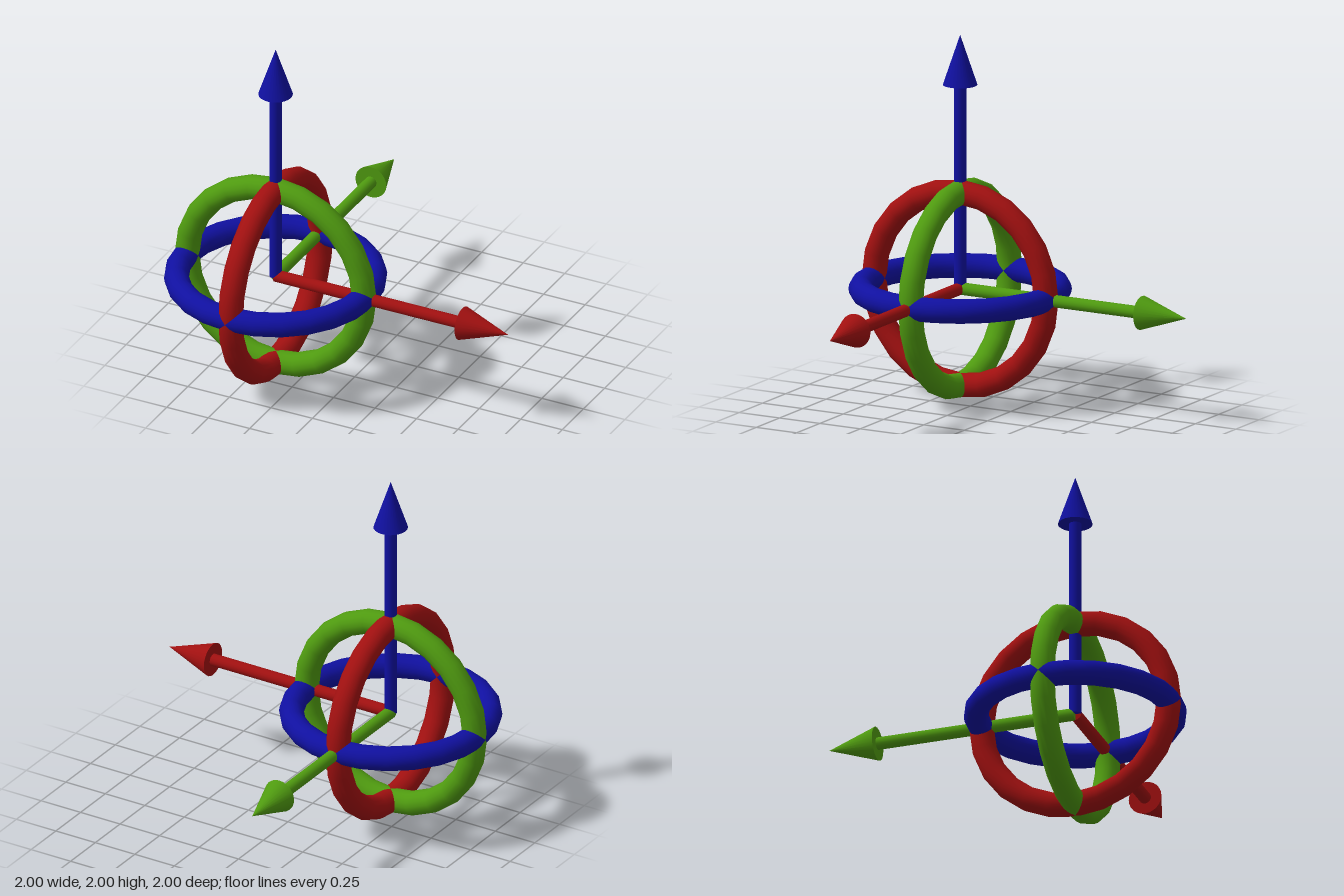
import * as THREE from 'three';

const OUTER = 0.6;              // outer radius of the rings
const TUBE = 0.067;             // ring thickness radius
const LENGTH = 1.4;             // arrow length from the hub
const HEAD = 0.275;             // arrowhead length

function part(name, geometry, material) {
  const mesh = new THREE.Mesh(geometry, material);
  mesh.name = name;
  return mesh;
}

// One axis: an arrow along +y and a ring lying around it
function createAxis(name, color) {
  const axis = new THREE.Group();
  axis.name = name;
  const material = new THREE.MeshStandardMaterial({ color });

  const shaftLength = LENGTH - HEAD;
  const shaft = new THREE.CylinderGeometry(0.034, 0.034, shaftLength, 16);
  shaft.translate(0, shaftLength / 2, 0);

  const head = new THREE.ConeGeometry(0.093, HEAD, 24);
  head.translate(0, LENGTH - HEAD / 2, 0);

  const ring = new THREE.TorusGeometry(OUTER - TUBE, TUBE, 16, 24);
  ring.rotateX(Math.PI / 2);

  axis.add(
    part('arrowShaft', shaft, material),
    part('arrowHead', head, material),
    part('rotationRing', ring, material)
  );
  return axis;
}

export function createModel() {
  const model = new THREE.Group();
  model.name = 'axisGizmo';

  // Sideways, upward and backward axes sharing one hub
  const sideAxis = createAxis('sideAxis', 0xa01010);
  sideAxis.rotation.z = -Math.PI / 2;
  const upAxis = createAxis('upAxis', 0x1010a0);
  const backAxis = createAxis('backAxis', 0x4f9a10);
  backAxis.rotation.x = -Math.PI / 2;

  const hub = new THREE.Group();
  hub.name = 'hub';
  hub.add(sideAxis, upAxis, backAxis);
  hub.position.set(-0.4, 0.6, 0.4);
  model.add(hub);
  return model;
}
